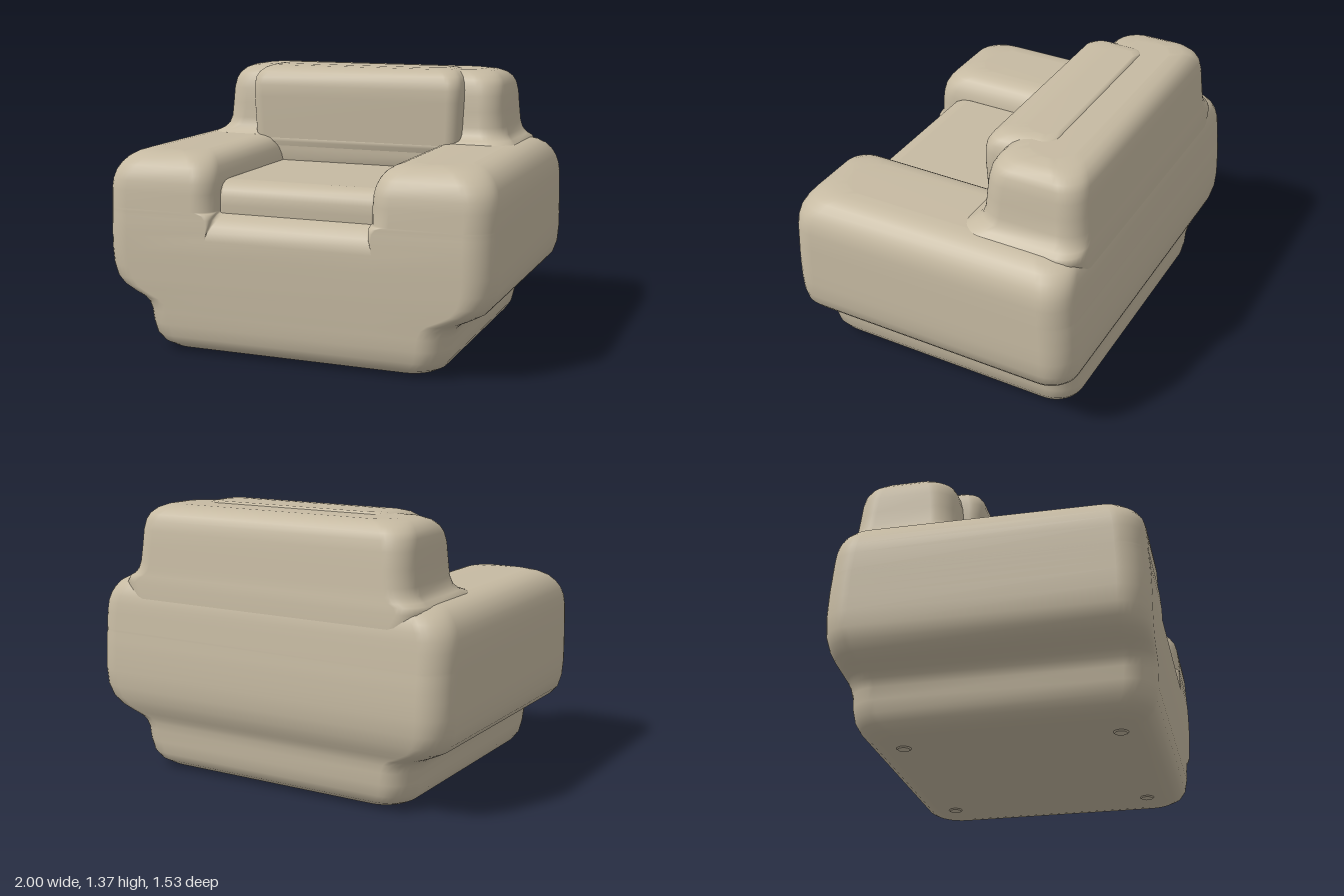
import * as THREE from 'three';
import { mergeVertices } from 'three/addons/utils/BufferGeometryUtils.js';

const ARC = 8;

// Closed loop of [x, z] points with rounded corners; corners are [x, z, radius]
function roundedLoop(corners) {
  const pts = [];
  const count = corners.length;
  for (let i = 0; i < count; i++) {
    const [x, z, radius] = corners[i];
    const p = new THREE.Vector2(x, z);
    const prev = corners[(i + count - 1) % count];
    const next = corners[(i + 1) % count];
    const u = p.clone().sub(new THREE.Vector2(prev[0], prev[1]));
    const v = new THREE.Vector2(next[0], next[1]).sub(p);
    const r = Math.min(radius, 0.49 * u.length(), 0.49 * v.length());
    u.normalize();
    v.normalize();
    for (let k = 0; k <= ARC; k++) {
      const t = (k / ARC) * Math.PI / 2;
      const a = r * (Math.sin(t) - 1);
      const b = r * (1 - Math.cos(t));
      pts.push([x + u.x * a + v.x * b, z + u.y * a + v.y * b]);
    }
  }
  return pts;
}

// Smooth capped skin over loops stacked upwards; each ring is { y, loop }
function loft(rings) {
  const n = rings[0].loop.length;
  const positions = [];
  const index = [];
  rings.forEach(({ y, loop }) => loop.forEach(([x, z]) => positions.push(x, y, z)));
  for (let i = 0; i < rings.length - 1; i++) {
    for (let j = 0; j < n; j++) {
      const a = i * n + j;
      const b = i * n + (j + 1) % n;
      index.push(a, a + n, b, b, a + n, b + n);
    }
  }
  const cap = (ring, up) => {
    const loop = rings[ring].loop;
    const contour = loop.map(([x, z]) => new THREE.Vector2(x, z));
    for (const [a, b, c] of THREE.ShapeUtils.triangulateShape(contour, [])) {
      const [A, B, C] = [loop[a], loop[b], loop[c]];
      const ny = (B[1] - A[1]) * (C[0] - A[0]) - (B[0] - A[0]) * (C[1] - A[1]);
      const o = ring * n;
      if ((ny > 0) === up) index.push(o + a, o + b, o + c);
      else index.push(o + a, o + c, o + b);
    }
  };
  cap(0, false);
  cap(rings.length - 1, true);
  let geometry = new THREE.BufferGeometry();
  geometry.setAttribute('position', new THREE.Float32BufferAttribute(positions, 3));
  geometry.setIndex(index);
  geometry = mergeVertices(geometry, 1e-5);
  geometry.computeVertexNormals();
  return geometry;
}

// Rounded block from rows of [y, half width, back z, front z]
function block(rows, radius) {
  return loft(rows.map(([y, w, zb, zf]) => ({
    y,
    loop: roundedLoop([[w, zb, radius], [w, zf, radius], [-w, zf, radius], [-w, zb, radius]]),
  })));
}

export function createModel() {
  const group = new THREE.Group();
  const fabric = new THREE.MeshStandardMaterial({ color: 0xc6baa2 });
  fabric.name = 'beige fabric';
  const add = (name, geometry) => {
    const mesh = new THREE.Mesh(geometry, fabric);
    mesh.name = name;
    group.add(mesh);
    return mesh;
  };

  // Base and arms in one skin: [y, half width, back z, front z, seat half width, seat back z]
  const bodyRows = [
    [0.006, 0.65, -0.58, 0.64], [0.015, 0.70, -0.625, 0.685], [0.04, 0.74, -0.66, 0.72],
    [0.08, 0.767, -0.68, 0.74], [0.14, 0.78, -0.69, 0.75], [0.2, 0.787, -0.692, 0.752],
    [0.24, 0.803, -0.698, 0.754], [0.265, 0.83, -0.705, 0.755], [0.29, 0.885, -0.717, 0.756],
    [0.32, 0.94, -0.732, 0.757], [0.36, 0.975, -0.748, 0.759], [0.42, 0.994, -0.762, 0.76],
    [0.5, 1, -0.766, 0.762], [0.58, 1, -0.763, 0.762],
    [0.62, 1, -0.761, 0.761, 0.42, 0.752], [0.65, 1, -0.759, 0.76, 0.41, 0.735],
    [0.68, 1, -0.756, 0.758, 0.405, 0.705], [0.7, 1, -0.754, 0.757, 0.4, 0.66],
    [0.71, 1, -0.753, 0.757, 0.4, 0.6], [0.715, 1, -0.753, 0.756, 0.4, -0.25],
    [0.8, 0.999, -0.745, 0.753, 0.4, -0.25], [0.85, 0.993, -0.74, 0.747, 0.402, -0.25],
    [0.89, 0.98, -0.733, 0.737, 0.41, -0.25], [0.925, 0.96, -0.722, 0.717, 0.424, -0.25],
    [0.955, 0.932, -0.705, 0.69, 0.445, -0.26], [0.975, 0.898, -0.68, 0.655, 0.474, -0.27],
    [0.986, 0.86, -0.65, 0.615, 0.508, -0.28], [0.99, 0.82, -0.61, 0.57, 0.545, -0.3],
  ];
  add('baseAndArms', loft(bodyRows.map(([y, w, zb, zf, n = 0.43, zn = zf]) => ({
    y,
    loop: roundedLoop([
      [w, zb, 0.14], [w, zf, 0.14], [n, zf, 0.11], [n, zn, 0.03],
      [-n, zn, 0.03], [-n, zf, 0.11], [-w, zf, 0.14], [-w, zb, 0.14],
    ]),
  }))));

  // Backrest, flaring where it meets the arms
  add('backrest', block([
    [0.6, 0.78, -0.74, -0.2], [0.85, 0.8, -0.736, -0.16], [0.96, 0.86, -0.728, -0.1],
    [0.99, 0.845, -0.724, -0.12], [1.005, 0.818, -0.722, -0.155], [1.03, 0.795, -0.718, -0.178],
    [1.07, 0.782, -0.714, -0.188], [1.15, 0.775, -0.706, -0.193], [1.23, 0.77, -0.698, -0.2],
    [1.28, 0.76, -0.688, -0.212], [1.31, 0.745, -0.674, -0.228], [1.335, 0.718, -0.65, -0.252],
    [1.35, 0.682, -0.617, -0.285], [1.357, 0.63, -0.57, -0.33],
  ], 0.12));

  // Back cushion
  add('backCushion', block([
    [0.8, 0.5, -0.42, -0.15], [0.86, 0.54, -0.44, -0.118], [0.92, 0.565, -0.44, -0.114],
    [1.0, 0.577, -0.44, -0.11], [1.2, 0.583, -0.44, -0.098], [1.26, 0.582, -0.44, -0.098],
    [1.3, 0.575, -0.44, -0.106], [1.33, 0.56, -0.44, -0.125], [1.35, 0.535, -0.44, -0.153],
    [1.362, 0.505, -0.435, -0.2], [1.366, 0.47, -0.42, -0.26],
  ], 0.07));

  // Seat cushion
  add('seatCushion', block([
    [0.6, 0.405, -0.3, 0.64], [0.74, 0.405, -0.3, 0.648], [0.785, 0.405, -0.3, 0.645],
    [0.815, 0.405, -0.3, 0.634], [0.838, 0.405, -0.3, 0.615], [0.852, 0.405, -0.3, 0.588],
    [0.858, 0.405, -0.3, 0.55],
  ], 0.02));

  // Four small glides under the base
  for (const x of [-0.48, 0.48]) {
    for (const z of [-0.49, 0.55]) {
      add('footGlide', new THREE.CylinderGeometry(0.042, 0.03, 0.012, 20)).position.set(x, 0.006, z);
    }
  }
  return group;
}
